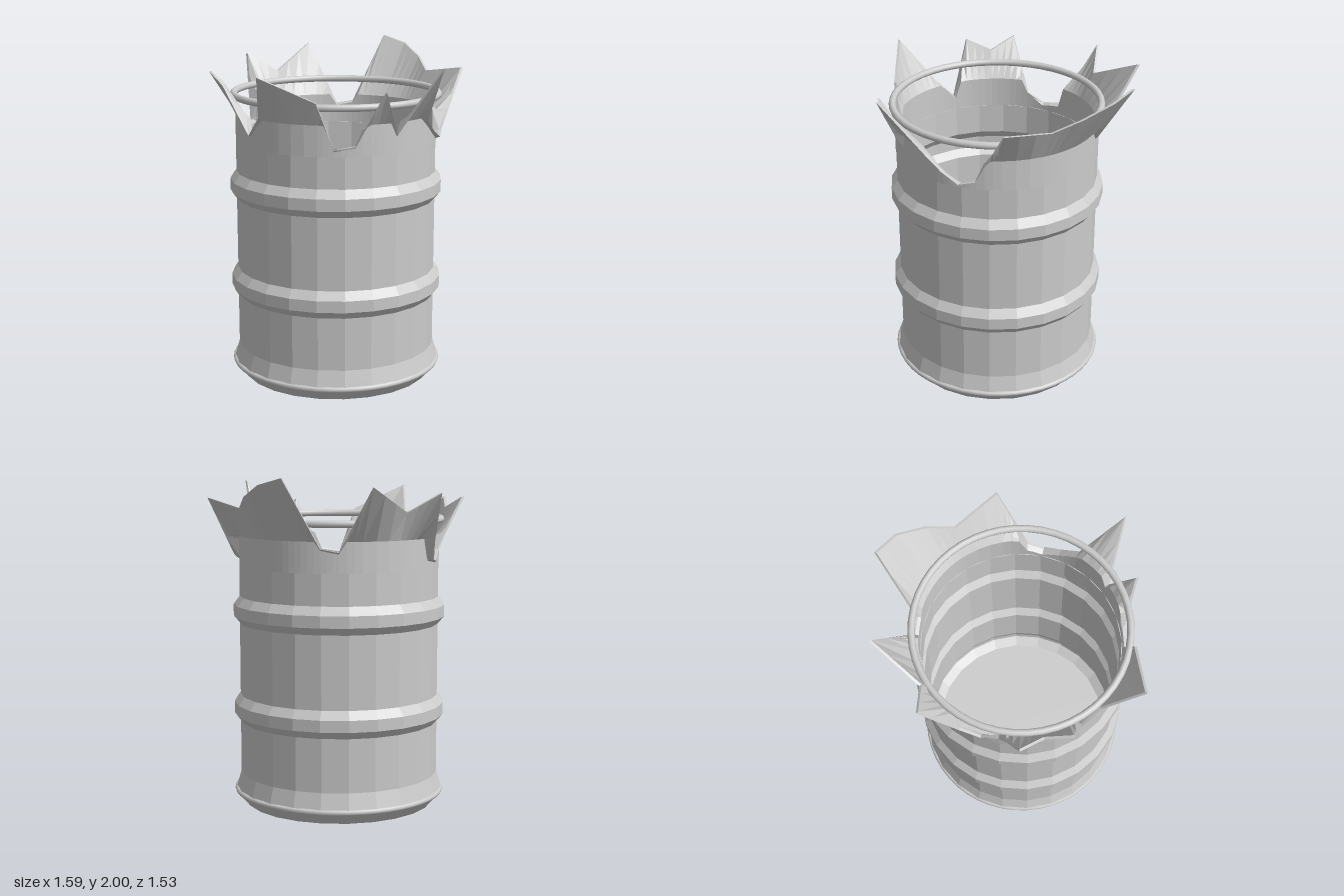
import * as THREE from 'three';

const CX = -0.025, CZ = 0.01; // axis of the drum
const R = 0.605, WALL = 0.02, CROWN_BASE = 1.46, RIM = 1.64;

// Torn edge of the crown: x, z, y, counter-clockwise from the front
const TORN_EDGE = [
  [-0.02, 0.63, 1.54], [0.10, 0.635, 1.66], [0.29, 0.76, 1.92], [0.44, 0.47, 1.77],
  [0.47, 0.37, 1.5], [0.53, 0.26, 1.52], [0.67, 0.15, 1.83], [0.59, 0.01, 1.57],
  [0.79, -0.155, 1.95], [0.55, -0.24, 1.62], [0.49, -0.34, 1.54], [0.43, -0.43, 1.49],
  [0.36, -0.5, 1.52], [0.29, -0.72, 1.87], [-0.02, -0.69, 1.82], [-0.17, -0.75, 1.89],
  [-0.35, -0.77, 1.96], [-0.51, -0.72, 2.0], [-0.46, -0.43, 1.6], [-0.53, -0.35, 1.58],
  [-0.8, -0.31, 1.95], [-0.69, 0.01, 1.8], [-0.8, 0.17, 1.91], [-0.61, 0.26, 1.52],
  [-0.53, 0.36, 1.5], [-0.45, 0.43, 1.56], [-0.45, 0.64, 1.87], [-0.29, 0.64, 1.8],
  [-0.16, 0.735, 1.86],
];

function makeCrown() {
  const edge = TORN_EDGE.map(([x, z, y]) => {
    const p = new THREE.Vector3(x - CX, y, z - CZ);
    return { p, angle: Math.atan2(p.x, p.z) };
  });
  const onWall = (a, r, y) => new THREE.Vector3(r * Math.sin(a), y, r * Math.cos(a));
  const columns = [];
  const steps = 3;
  edge.forEach((cur, i) => {
    const next = edge[(i + 1) % edge.length];
    let sweep = next.angle - cur.angle;
    if (sweep < -Math.PI) sweep += 2 * Math.PI;
    for (let s = 0; s < steps; s++) {
      const t = s / steps;
      const a = cur.angle + sweep * t;
      const tip = cur.p.clone().lerp(next.p, t);
      const bend = Math.min(RIM, tip.y - 0.01);
      const inner = tip.clone().sub(onWall(a, WALL * 0.8, 0));
      // cross-section: up the outside, over the torn edge, down the inside
      columns.push([
        onWall(a, R, CROWN_BASE), onWall(a, R, bend), tip,
        inner, onWall(a, R - WALL, bend), onWall(a, R - WALL, CROWN_BASE),
      ]);
    }
  });
  const pos = [];
  columns.forEach((col, i) => {
    const nxt = columns[(i + 1) % columns.length];
    for (let j = 0; j < col.length - 1; j++) {
      const [a, b, c, d] = [col[j], nxt[j], nxt[j + 1], col[j + 1]];
      for (const v of [a, b, c, a, c, d]) pos.push(v.x, v.y, v.z);
    }
  });
  const geo = new THREE.BufferGeometry();
  geo.setAttribute('position', new THREE.Float32BufferAttribute(pos, 3));
  geo.computeVertexNormals();
  return geo;
}

export function createModel() {
  const model = new THREE.Group();
  model.name = 'burstDrum';
  const flat = new THREE.MeshStandardMaterial({ color: 0xcccccc, flatShading: true, side: THREE.DoubleSide });
  const smooth = new THREE.MeshStandardMaterial({ color: 0xcccccc });

  const add = (name, geo, mat, y = 0) => {
    const mesh = new THREE.Mesh(geo, mat);
    mesh.name = name;
    mesh.position.set(CX, y, CZ);
    model.add(mesh);
    return mesh;
  };

  // Drum body with two raised bands and a flared foot
  const band = (y) => [[R, y], [0.642, y + 0.045], [0.642, y + 0.115], [R, y + 0.165]];
  const outer = [
    [0.575, 0], [0.63, 0.065], [0.632, 0.095], [R, 0.19],
    ...band(0.51), ...band(1.11), [R, CROWN_BASE],
  ];
  const inner = outer.map(([r, y]) => [r - WALL, Math.max(y, 0.025)]).reverse();
  const profile = [[0, 0], ...outer, ...inner, [0, 0.025]].map(([r, y]) => new THREE.Vector2(r, y));
  add('drumBody', new THREE.LatheGeometry(profile, 24), flat);

  // Rolled bead around the foot
  const bead = new THREE.TorusGeometry(0.627, 0.017, 8, 48).rotateX(Math.PI / 2);
  add('footBead', bead, smooth, 0.08);

  // Jagged metal peeled outwards at the top
  add('tornCrown', makeCrown(), flat);

  // Loose rim ring
  const ring = new THREE.TorusGeometry(0.615, 0.021, 10, 48).rotateX(Math.PI / 2);
  add('rimRing', ring, smooth, 1.74);

  return model;
}
